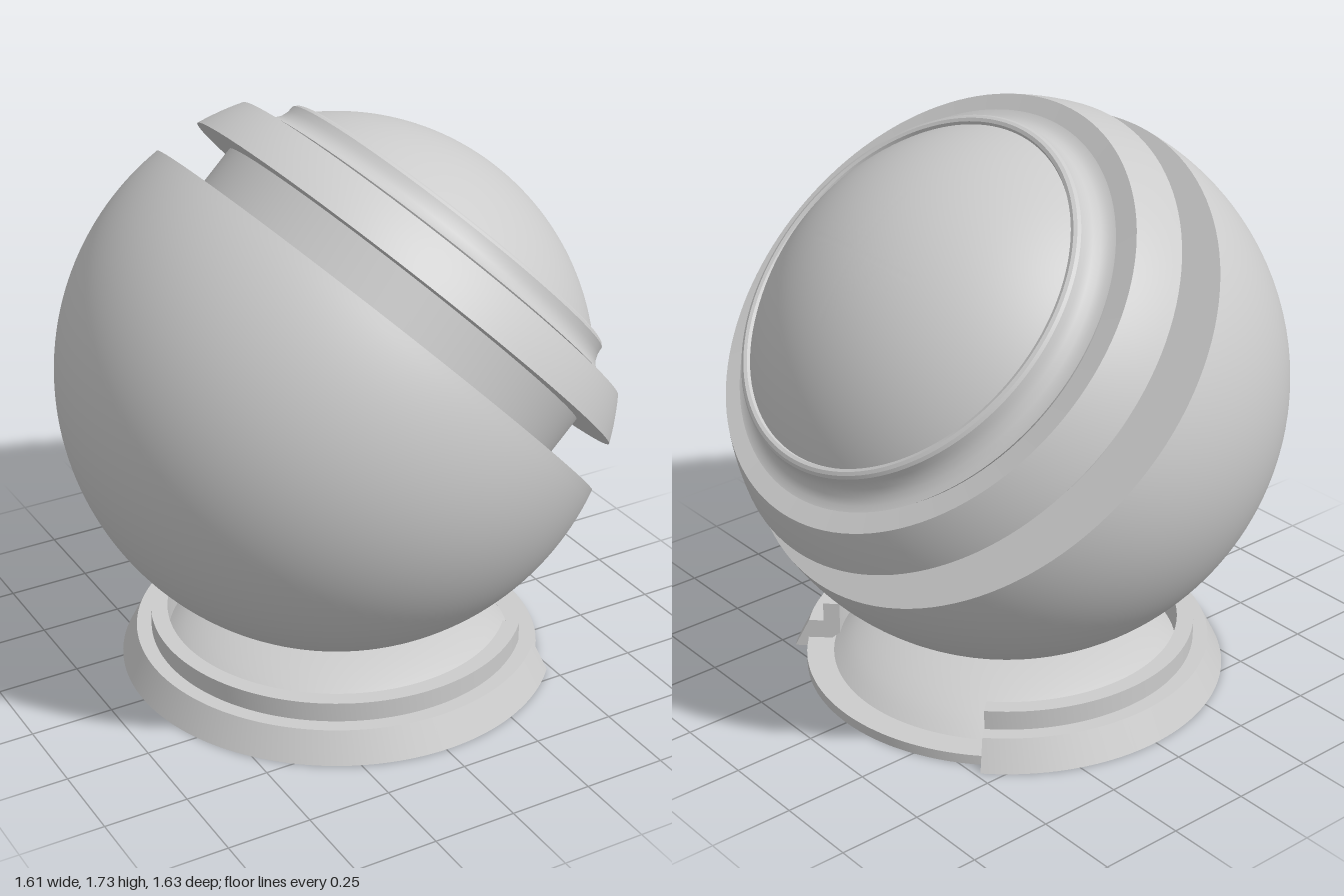
import * as THREE from 'three';
import { toCreasedNormals } from 'three/addons/utils/BufferGeometryUtils.js';

const R = 0.815;
const material = new THREE.MeshStandardMaterial({ color: 0xcccccc, side: THREE.DoubleSide });

// Points [radius, height] of a circular arc centred on the axis, between two heights
function arc(radius, y0, y1, steps) {
  const a0 = Math.asin(y0 / radius), a1 = Math.asin(y1 / radius);
  return Array.from({ length: steps + 1 }, (_, i) => {
    const a = a0 + (a1 - a0) * i / steps;
    return [Math.max(0, radius * Math.cos(a)), radius * Math.sin(a)];
  });
}

const toVectors = (points) => points.map(([r, y]) => new THREE.Vector2(r, y));

// Turned part with sharp profile corners and smooth curves
function turned(name, points, start = 0, length = Math.PI * 2) {
  const lathe = new THREE.LatheGeometry(toVectors(points), 128, start, length);
  const mesh = new THREE.Mesh(toCreasedNormals(lathe, 0.4), material);
  mesh.name = name;
  return mesh;
}

export function createModel() {
  const model = new THREE.Group();
  model.name = 'materialSampleBall';

  // Ball: all parts share an axis tilted 45 degrees towards +x
  const ball = new THREE.Group();
  ball.name = 'ball';
  ball.position.set(0.01, 1.21, 0);
  ball.rotation.z = -Math.PI / 4;
  model.add(ball);

  ball.add(turned('lowerBall', [...arc(R, -R, 0.177, 48), [0.6, 0.177]]));
  ball.add(turned('grooveCore', [[0.636, 0.177], [0.636, 0.311]]));
  ball.add(turned('collar', [
    [0.6, 0.311],
    ...arc(R, 0.311, 0.437, 6),
    [0.62, 0.431], [0.63, 0.446],
    // concave moulding up to the rim
    [0.612, 0.448], [0.592, 0.458], [0.577, 0.475], [0.569, 0.497], [0.567, 0.518],
    // rounded rim falling back to the face dome
    [0.56, 0.526], [0.55, 0.53], [0.54, 0.527], [0.533, 0.51],
  ]));
  ball.add(turned('faceDome', arc(0.745, 0.515, 0.745, 24)));

  // Base: ring with an opening towards +x
  const base = new THREE.Group();
  base.name = 'base';
  base.position.x = 0.01;
  model.add(base);

  const ringProfile = [
    [0.655, 0.28], [0.61, 0.37], [0.565, 0.37], [0.565, 0.43], [0.515, 0.43],
    [0.515, 0.33], [0.54, 0.31], [0.615, 0.31], [0.615, 0.28], [0.655, 0.28],
  ];
  const halfGap = THREE.MathUtils.degToRad(43.5);
  base.add(turned('baseRing', ringProfile, Math.PI / 2 + halfGap, Math.PI * 2 - 2 * halfGap));

  // Flat ends of the ring at the opening
  for (const side of [-1, 1]) {
    const end = new THREE.Mesh(new THREE.ShapeGeometry(new THREE.Shape(toVectors(ringProfile))), material);
    end.name = 'baseRingEnd';
    end.rotation.y = side * halfGap;
    base.add(end);
  }

  // Thin lip running all the way round under the ring
  base.add(turned('baseLip', [
    [0.54, 0.28], [0.612, 0.28], [0.612, 0.31], [0.53, 0.31], [0.54, 0.28],
  ]));

  // Shallow hollow dome that carries the ball
  base.add(turned('baseDome', [
    [0.535, 0.305], [0.5, 0.333], [0.46, 0.358], [0.41, 0.381], [0.35, 0.402], [0.29, 0.416], [0.23, 0.426],
  ]));

  return model;
}
